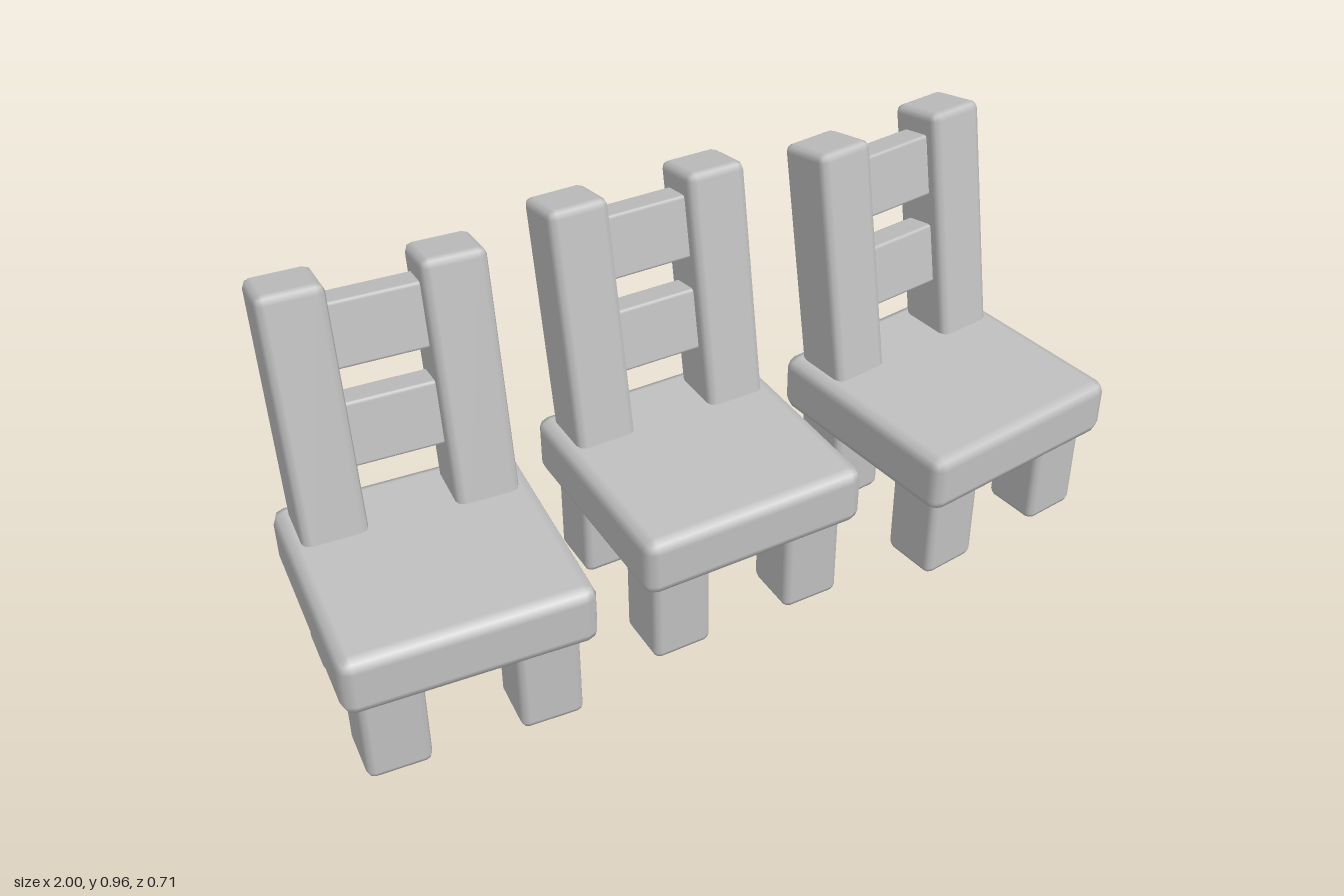
import * as THREE from 'three';
import { RoundedBoxGeometry } from 'three/addons/geometries/RoundedBoxGeometry.js';

const DEG = Math.PI / 180;

export function createModel() {
  const model = new THREE.Group();
  model.name = 'chairRow';
  const grey = new THREE.MeshStandardMaterial({ color: 0xbfbfbf });
  grey.name = 'plain grey';

  // Softly bevelled block, placed by its centre
  function block(parent, name, [w, h, d], [x, y, z], radius) {
    const mesh = new THREE.Mesh(new RoundedBoxGeometry(w, h, d, 1, radius), grey);
    mesh.name = name;
    mesh.position.set(x, y, z);
    parent.add(mesh);
  }

  function createChair(name) {
    const chair = new THREE.Group();
    chair.name = name;
    block(chair, 'seat', [0.57, 0.15, 0.57], [0, 0.305, 0], 0.03);

    // Four stubby legs, tucked into the seat
    for (const [side, sx] of [['right', -1], ['left', 1]]) {
      for (const [end, sz] of [['Front', 1], ['Back', -1]]) {
        block(chair, `${side}${end}Leg`, [0.148, 0.28, 0.148], [sx * 0.176, 0.14, sz * 0.175], 0.018);
      }
    }

    // Reclined backrest: two posts joined by two slats
    const back = new THREE.Group();
    back.name = 'backrest';
    back.position.set(0, 0.38, -0.182);
    back.rotation.x = -10 * DEG;
    for (const [side, sx] of [['right', -1], ['left', 1]]) {
      block(back, `${side}Post`, [0.15, 0.656, 0.148], [sx * 0.176, 0.248, 0], 0.02);
    }
    block(back, 'lowerSlat', [0.26, 0.156, 0.08], [0, 0.208, 0], 0.008);
    block(back, 'upperSlat', [0.26, 0.156, 0.08], [0, 0.442, 0], 0.008);
    chair.add(back);
    return chair;
  }

  // Three chairs, the outer two turned slightly away from the middle
  const layout = [
    ['rightChair', -0.695, 0.035, -5],
    ['middleChair', -0.004, -0.004, 0],
    ['leftChair', 0.684, 0.038, 7],
  ];
  for (const [name, x, z, turn] of layout) {
    const chair = createChair(name);
    chair.position.set(x, 0, z);
    chair.rotation.y = turn * DEG;
    model.add(chair);
  }
  return model;
}
